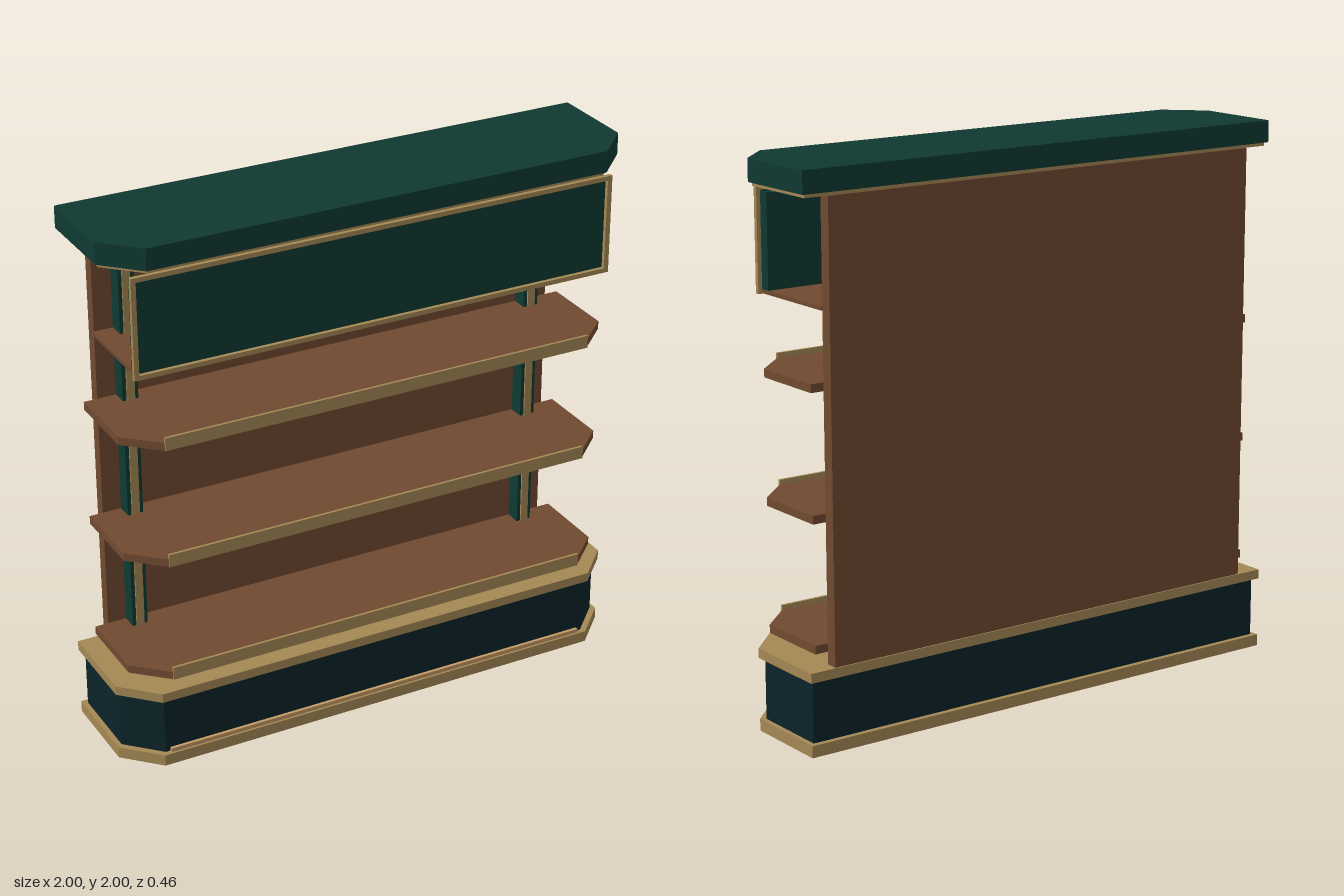
import * as THREE from 'three';

const mat = (name, color) => new THREE.MeshStandardMaterial({ name, color });

export function createModel() {
  const green = mat('green', 0x0f3a32);
  const darkGreen = mat('darkGreen', 0x0b2429);
  const wood = mat('wood', 0x714a31);
  const gold = mat('gold', 0xa58854);
  const light = mat('lightStrip', 0xc49a64);

  const group = new THREE.Group();
  group.name = 'displayShelf';

  const add = (name, geometry, material) => {
    const mesh = new THREE.Mesh(geometry, material);
    mesh.name = name;
    group.add(mesh);
    return mesh;
  };

  // Box given by its minimum and maximum on each axis
  const box = (name, material, x0, x1, y0, y1, z0, z1) => {
    const g = new THREE.BoxGeometry(x1 - x0, y1 - y0, z1 - z0);
    g.translate((x0 + x1) / 2, (y0 + y1) / 2, (z0 + z1) / 2);
    return add(name, g, material);
  };

  // Horizontal slab with its two front corners cut off
  const slab = (name, material, halfW, y0, y1, back, front, cutX, cutZ) => {
    const pts = [
      [-halfW, back], [-halfW, front - cutZ], [-halfW + cutX, front],
      [halfW - cutX, front], [halfW, front - cutZ], [halfW, back],
    ].map(([x, z]) => new THREE.Vector2(x, -z));
    const g = new THREE.ExtrudeGeometry(new THREE.Shape(pts), { depth: y1 - y0, bevelEnabled: false });
    g.rotateX(-Math.PI / 2);
    g.translate(0, y0, 0);
    return add(name, g, material);
  };

  // Plinth
  slab('plinthFoot', gold, 1, 0, 0.043, -0.23, 0.23, 0.125, 0.125);
  slab('plinthBody', darkGreen, 0.982, 0.043, 0.265, -0.21, 0.21, 0.118, 0.118);
  slab('plinthTop', gold, 1, 0.265, 0.3, -0.23, 0.23, 0.125, 0.125);
  box('plinthLight', light, -0.845, 0.845, 0.043, 0.058, 0.209, 0.222);

  // Back panel
  box('backPanel', wood, -0.9, 0.9, 0.3, 1.907, -0.225, -0.18);

  // Columns with a gold front strip
  for (const s of [-1, 1]) {
    const c = s * 0.801;
    box('column', green, c - 0.029, c + 0.029, 0.3, 1.907, -0.18, -0.12);
    box('columnStrip', gold, c - 0.015, c + 0.015, 0.3, 1.907, -0.121, -0.114);
  }

  // Shelves with a raised front lip and a light strip beneath
  for (const y of [0.36, 0.815, 1.265]) {
    slab('shelf', wood, 0.95, y - 0.015, y + 0.015, -0.18, 0.222, 0.12, 0.112);
    box('shelfLip', gold, -0.83, 0.83, y - 0.014, y + 0.034, 0.217, 0.227);
    box('shelfLight', light, -0.82, 0.82, y - 0.024, y - 0.015, 0.15, 0.163);
  }

  // Header box: floor, sign panel and gold frame
  box('headerFloor', wood, -0.905, 0.905, 1.522, 1.536, -0.18, 0.185);
  box('headerLight', light, -0.82, 0.82, 1.511, 1.522, 0.146, 0.16);
  box('signPanel', green, -0.905, 0.905, 1.536, 1.87, 0.146, 0.186);
  const frame = new THREE.Shape([[-0.92, 1.52], [0.92, 1.52], [0.92, 1.89], [-0.92, 1.89]]
    .map(p => new THREE.Vector2(...p)));
  frame.holes.push(new THREE.Path([[-0.902, 1.537], [-0.902, 1.873], [0.902, 1.873], [0.902, 1.537]]
    .map(p => new THREE.Vector2(...p))));
  const frameGeo = new THREE.ExtrudeGeometry(frame, { depth: 0.016, bevelEnabled: false });
  frameGeo.translate(0, 0, 0.185);
  add('signFrame', frameGeo, gold);
  // Closes the narrow gap above the sign panel inside the frame
  box('signPanelTop', green, -0.903, 0.903, 1.868, 1.875, 0.18, 0.186);

  // Cornice
  slab('corniceTrim', gold, 0.988, 1.907, 1.92, -0.22, 0.22, 0.12, 0.12);
  slab('cornice', green, 1, 1.92, 2, -0.23, 0.23, 0.125, 0.125);

  return group;
}
